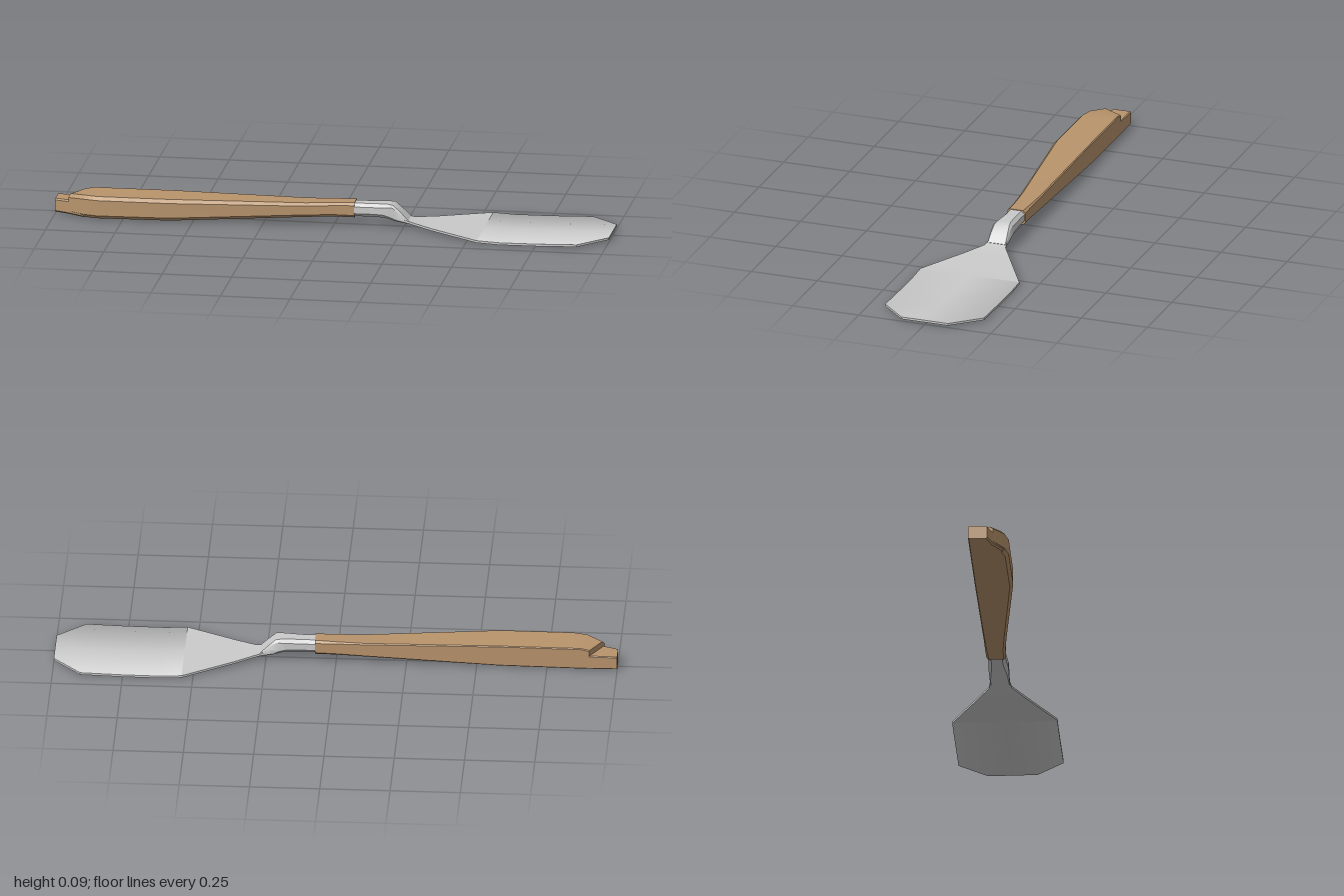
import * as THREE from 'three';
import { toCreasedNormals } from 'three/addons/utils/BufferGeometryUtils.js';

// Chamfered rectangular cross-section; cf/cb are the front and back chamfers,
// skewZ/skewY slant the section along x.
function ring(x, y0, y1, z0, z1, cf, cb = cf, skewZ = 0, skewY = 0) {
  return [
    [y1, z0 + cb], [y1, z1 - cf], [y1 - cf, z1], [y0 + cf, z1],
    [y0, z1 - cf], [y0, z0 + cb], [y0 + cb, z0], [y1 - cb, z0],
  ].map(([y, z]) => new THREE.Vector3(
    x + skewZ * (z - z0) / (z1 - z0) + skewY * (y - y0) / (y1 - y0), y, z));
}

// Closed skin over rings ordered along +x
function loft(rings, crease) {
  const pos = [];
  const tri = (...pts) => pts.forEach(p => pos.push(p.x, p.y, p.z));
  const n = rings[0].length;
  for (let i = 0; i < rings.length - 1; i++) {
    for (let j = 0; j < n; j++) {
      const k = (j + 1) % n;
      const a = rings[i][j], b = rings[i][k], c = rings[i + 1][k], d = rings[i + 1][j];
      tri(a, b, c);
      tri(a, c, d);
    }
  }
  const first = rings[0], last = rings[rings.length - 1];
  for (let j = 1; j < n - 1; j++) {
    tri(first[0], first[j + 1], first[j]);
    tri(last[0], last[j], last[j + 1]);
  }
  const geo = new THREE.BufferGeometry();
  geo.setAttribute('position', new THREE.Float32BufferAttribute(pos, 3));
  return toCreasedNormals(geo, crease);
}

// Thin plate section: stations are [x, top, halfWidth]
const THICK = 0.008;
function plate(stations) {
  return loft(stations.map(([x, top, w]) => [
    [top, 0], [top, w], [top - THICK, w], [top - THICK, 0], [top - THICK, -w], [top, -w],
  ].map(([y, z]) => new THREE.Vector3(x, y, z))), 0.5);
}

// Softly rolled edges: tilt the shading outward toward both long sides
function rollEdges(geo, halfWidth, tilt) {
  const p = geo.attributes.position, nor = geo.attributes.normal;
  const v = new THREE.Vector3();
  for (let i = 0; i < p.count; i++) {
    v.fromBufferAttribute(nor, i);
    if (Math.abs(v.y) < 0.8) continue;
    v.z += tilt * p.getZ(i) / halfWidth;
    v.normalize();
    nor.setXYZ(i, v.x, v.y, v.z);
  }
  return geo;
}

export function createModel() {
  const wood = new THREE.MeshStandardMaterial({ color: 0xb8946c });
  wood.name = 'wood';
  const steel = new THREE.MeshStandardMaterial({ color: 0xcacaca });
  steel.name = 'steel';

  const model = new THREE.Group();
  model.name = 'spreader';
  const add = (name, geo, mat) => {
    const mesh = new THREE.Mesh(geo, mat);
    mesh.name = name;
    model.add(mesh);
  };

  // Wooden handle, straight along the back and swelling toward the front
  add('handle', loft([
    ring(-0.9, 0.005, 0.078, -0.036, 0.05, 0.012, 0.003, -0.05),
    ring(-0.87, 0.005, 0.085, -0.036, 0.087, 0.012, 0.003, -0.02),
    ring(-0.84, 0.005, 0.085, -0.036, 0.099, 0.012, 0.003),
    ring(-0.58, 0.008, 0.086, -0.036, 0.099, 0.012, 0.003),
    ring(-0.1, 0.029, 0.081, -0.036, 0.046, 0.01, 0.004),
    ring(0.0, 0.033, 0.084, -0.037, 0.036, 0.009, 0.006),
    ring(0.075, 0.032, 0.086, -0.037, 0.033, 0.009),
  ], 0.35), wood);

  // Lower step at the tail of the handle
  add('handleTail', loft([
    ring(-1, 0.006, 0.055, -0.036, 0.032, 0.005, 0.003),
    ring(-0.9, 0.005, 0.056, -0.036, 0.05, 0.005, 0.003, -0.05),
    ring(-0.87, 0.005, 0.056, -0.036, 0.085, 0.005, 0.003, -0.02),
  ], 0.35), wood);

  // Steel ferrule with its cranked neck
  add('neck', loft([
    ring(0.06, 0.035, 0.084, -0.034, 0.031, 0.012),
    ring(0.12, 0.036, 0.084, -0.033, 0.031, 0.012),
    ring(0.17, 0.036, 0.086, -0.036, 0.035, 0.012, 0.012, 0, 0.02),
    ring(0.195, 0.034, 0.083, -0.036, 0.035, 0.008, 0.008, 0, 0.02),
    ring(0.225, 0.026, 0.056, -0.035, 0.035, 0.004, 0.004, 0, 0.02),
    ring(0.265, 0.02, 0.031, -0.035, 0.035, 0.002, 0.002, 0, 0.005),
  ], 0.7), steel);

  // Shoulder flaring from the neck to the blade
  add('shoulder', plate([
    [0.255, 0.033, 0.035],
    [0.285, 0.026, 0.04],
    [0.36, 0.02, 0.084],
    [0.54, 0.0125, 0.187],
  ]), steel);

  // Broad blade with clipped corners and a slight lift at the tip
  add('blade', rollEdges(plate([
    [0.54, 0.0125, 0.187],
    [0.62, 0.0085, 0.187],
    [0.75, 0.0095, 0.187],
    [0.9, 0.0135, 0.187],
    [1.0, 0.0165, 0.088],
  ]), 0.187, 0.7), steel);

  return model;
}
